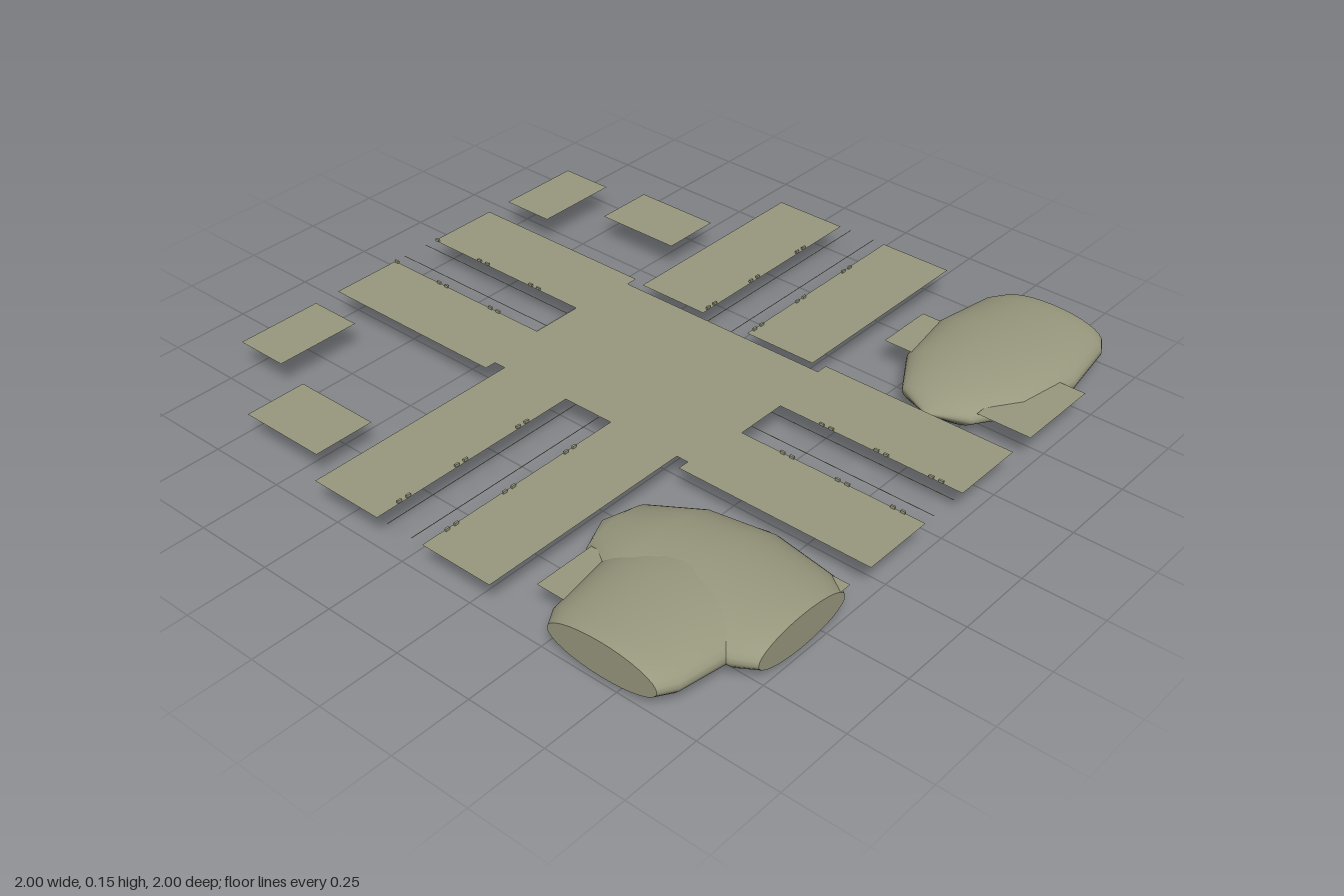
import * as THREE from 'three';

const DECK = 0.108; // height of all flat paving

export function createModel() {
  const model = new THREE.Group();
  const olive = new THREE.MeshStandardMaterial({ color: 0x99997f });
  const thin = new THREE.MeshStandardMaterial({ color: 0x99997f, side: THREE.DoubleSide });

  const add = (name, geometry, material, parent = model) => {
    const mesh = new THREE.Mesh(geometry, material);
    mesh.name = name;
    parent.add(mesh);
    return mesh;
  };
  const group = (name) => {
    const g = new THREE.Group();
    g.name = name;
    model.add(g);
    return g;
  };
  // Flat horizontal rectangle given by its x and z limits
  const plate = (name, x0, x1, z0, z1, parent, y = DECK) => {
    const geo = new THREE.PlaneGeometry(x1 - x0, z1 - z0).rotateX(-Math.PI / 2);
    geo.translate((x0 + x1) / 2, y, (z0 + z1) / 2);
    return add(name, geo, thin, parent);
  };

  // Paving: the crossing and the walks beside each road
  const paving = group('paving');
  plate('crossing', -0.365, 0.365, -0.29, 0.285, paving);
  for (const s of [-1, 1]) {
    const span = (a, b) => (s < 0 ? [-b, -a] : [a, b]);
    plate('crossingLip', ...span(0.365, 0.39), -0.085, 0.085, paving);
    plate('backWalk', ...span(0.085, 0.326), -1, -0.315, paving);
    plate('frontWalk', ...span(0.085, 0.326), 0.285, 1, paving);
    plate('sideWalkBack', ...span(0.365, 1), -0.328, -0.085, paving);
    plate('sideWalkFront', ...span(0.365, 1), 0.085, 0.322, paving);
  }

  // Building lots in the four corners
  const lots = group('lots');
  for (const s of [-1, 1]) {
    const span = (a, b) => (s < 0 ? [-b, -a] : [a, b]);
    plate('outerLotBack', ...span(0.825, 1), -0.70, -0.415, lots);
    plate('innerLotBack', ...span(0.413, 0.70), -0.745, -0.55, lots);
    plate('outerLotFront', ...span(0.825, 1), 0.41, 0.695, lots);
    plate('innerLotFront', ...span(0.413, 0.70), 0.72, 0.92, lots);
  }

  // Hairline kerbs: one L with a rounded corner in each quadrant
  const kerbs = group('kerbs');
  const e = 0.045, r = 0.03, w = 0.0015;
  for (const sx of [-1, 1]) for (const sz of [-1, 1]) {
    const xs = sx < 0 ? [-1, -e - r] : [e + r, 1];
    const zs = sz < 0 ? [-1, -e - r] : [e + r, 1];
    plate('kerbAlongX', ...xs, sz * e - w, sz * e + w, kerbs, DECK + 0.001);
    plate('kerbAlongZ', sx * e - w, sx * e + w, ...zs, kerbs, DECK + 0.001);
    const bend = new THREE.RingGeometry(r - w, r + w, 8, 1, Math.PI, Math.PI / 2)
      .rotateX(Math.PI / 2).scale(sx, 1, sz)
      .translate(sx * (e + r), DECK + 0.001, sz * (e + r));
    add('kerbBend', bend, thin, kerbs);
  }

  // Zebra crossing on the left arm of the plan
  const zebra = group('zebraCrossing');
  for (let i = 0; i < 8; i++) {
    const z = -0.04 + i * 0.0114;
    plate('stripe', -0.083, -0.057, z - 0.002, z + 0.002, zebra, DECK + 0.001);
  }

  // Small pairs of street furniture along the road edges
  const furniture = group('streetFurniture');
  const block = (x, z, alongX) => {
    const geo = new THREE.BoxGeometry(alongX ? 0.014 : 0.006, 0.008, alongX ? 0.006 : 0.014);
    add('bench', geo.translate(x, DECK + 0.004, z), olive, furniture);
  };
  for (const s of [-1, 1]) {
    for (const p of [-0.795, -0.565, -0.36, 0.455, 0.69, 0.9]) {
      for (const d of [-0.016, 0.016]) block(s * 0.09, p + d, false);
    }
    for (const p of [-0.785, -0.565, 0.55, 0.735, 0.915]) {
      for (const d of [-0.016, 0.016]) block(p + d, s * 0.087, true);
    }
    block(-0.99, s * 0.087, true);
  }

  // Rounded mounds: twelve-sided in plan, sliced flat at the edge of the site
  const mound = (name, x, z, yaw, cut) => {
    const g = group(name);
    const profile = [0, 30, 60, 90, 120].map((deg) => {
      const a = THREE.MathUtils.degToRad(deg);
      return new THREE.Vector2(Math.sin(a), -Math.cos(a));
    });
    const t = cut / 0.4, radius = 1.366 - t;
    profile.push(new THREE.Vector2(radius, t));
    const place = (geo) => geo.scale(0.24, 0.4, 0.075)
      .rotateX(Math.PI / 2).rotateY(yaw).translate(x, 0.083, z);
    add('moundBody', place(new THREE.LatheGeometry(profile, 32)), olive, g);
    const cap = new THREE.CircleGeometry(radius, 32).rotateX(-Math.PI / 2).translate(0, t, 0);
    add('moundCutFace', place(cap), thin, g);
  };
  mound('backMound', 0.70, -0.75, Math.PI, 0.25);
  mound('frontMound', 0.70, 0.75, 0, 0.25);
  mound('sideMound', 0.74, 0.60, Math.PI / 2, 0.26);

  return model;
}
